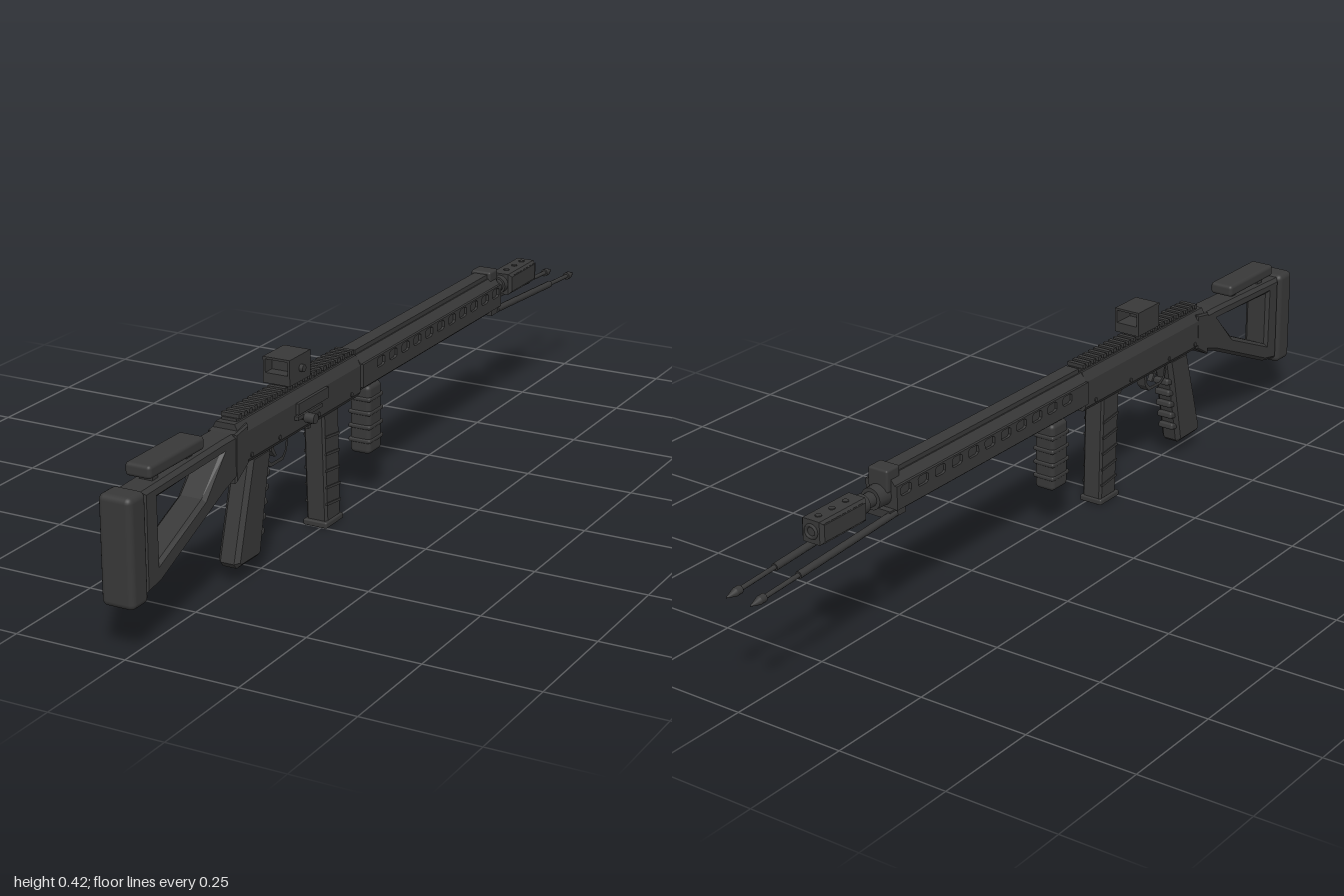
import * as THREE from 'three';
import { RoundedBoxGeometry } from 'three/addons/geometries/RoundedBoxGeometry.js';

export function createModel() {
  const root = new THREE.Group();
  root.name = 'rifle';
  const gun = new THREE.Group();
  gun.name = 'body';
  gun.position.x = -0.014; // the bolt handle pushes the body off centre
  root.add(gun);

  const dark = new THREE.MeshStandardMaterial({ color: 0x383838 });
  dark.name = 'dark gunmetal';

  const add = (name, geo, x = 0, y = 0, z = 0) => {
    const m = new THREE.Mesh(geo, dark);
    m.name = name;
    m.position.set(x, y, z);
    gun.add(m);
    return m;
  };
  const box = (name, w, h, d, x, y, z) => add(name, new THREE.BoxGeometry(w, h, d), x, y, z);
  const rounded = (name, w, h, d, r, x, y, z) => add(name, new RoundedBoxGeometry(w, h, d, 3, r), x, y, z);
  const toShape = (pts, holes = []) => {
    const s = new THREE.Shape(pts.map(p => new THREE.Vector2(...p)));
    s.holes = holes.map(h => new THREE.Path(h.map(p => new THREE.Vector2(...p))));
    return s;
  };
  const rect = (a, b, c, d) => [[a, b], [c, b], [c, d], [a, d]];
  // side profile in (z, y), extruded across x
  const profile = (name, pts, width, bevel = 0, holes = [], x = 0) => {
    const geo = new THREE.ExtrudeGeometry(toShape(pts, holes), {
      depth: width - 2 * bevel, bevelEnabled: bevel > 0, bevelSize: bevel,
      bevelThickness: bevel, bevelOffset: -bevel, bevelSegments: 1,
    });
    geo.translate(0, 0, -width / 2 + bevel);
    geo.rotateY(-Math.PI / 2);
    return add(name, geo, x);
  };
  // cross-section in (x, y), extruded along z
  const section = (name, pts, z0, z1, holes = []) =>
    add(name, new THREE.ExtrudeGeometry(toShape(pts, holes), { depth: z1 - z0, bevelEnabled: false }), 0, 0, z0);
  const mirrored = half => [...half, ...half.slice().reverse().map(([x, y]) => [-x, y])];
  const rodZ = (name, r0, r1, z0, z1, y, x = 0, sides = 16) => {
    const g = new THREE.CylinderGeometry(r1, r0, z1 - z0, sides);
    g.rotateX(Math.PI / 2);
    return add(name, g, x, y, (z0 + z1) / 2);
  };

  // Stock
  rounded('buttPad', 0.074, 0.227, 0.057, 0.013, 0, 0.214, 0.9715);
  profile('stock',
    [[0.945, 0.112], [0.89, 0.122], [0.66, 0.222], [0.605, 0.24], [0.605, 0.332], [0.66, 0.332], [0.945, 0.322]],
    0.064, 0.008, [[[0.895, 0.165], [0.895, 0.295], [0.665, 0.305], [0.735, 0.235]]]);
  rounded('cheekRest', 0.058, 0.028, 0.193, 0.008, 0, 0.35, 0.8215);
  for (const z of [0.88, 0.76]) box('cheekRestPost', 0.03, 0.03, 0.02, 0, 0.325, z);

  // Receiver
  section('receiver', mirrored([[0.026, 0.255], [0.033, 0.265], [0.033, 0.325], [0.022, 0.347]]), 0.11, 0.605);
  profile('receiverRear', [[0.62, 0.228], [0.57, 0.256], [0.57, 0.34], [0.62, 0.332]], 0.067, 0.004);
  box('railBase', 0.034, 0.008, 0.475, 0, 0.349, 0.352);
  for (let i = 0; i < 24; i++) box('railTooth', 0.042, 0.009, 0.011, 0, 0.3565, 0.58 - i * 0.0199);

  // Ejection port, bolt and side details
  box('portCover', 0.008, 0.024, 0.125, 0.036, 0.312, 0.322);
  box('boltSlot', 0.01, 0.008, 0.1, 0.037, 0.294, 0.34);
  const bolt = new THREE.CylinderGeometry(0.006, 0.006, 0.03, 12).rotateZ(Math.PI / 2);
  add('boltHandle', bolt, 0.042, 0.289, 0.36);
  const knob = new THREE.CylinderGeometry(0.011, 0.011, 0.023, 16).rotateZ(Math.PI / 2);
  add('boltKnob', knob, 0.0545, 0.289, 0.36);
  for (const z of [0.56, 0.45, 0.29, 0.15])
    add('pin', new THREE.CylinderGeometry(0.005, 0.005, 0.07, 10).rotateZ(Math.PI / 2), 0, 0.272, z);

  // Sight: open housing with a dark pane inside
  section('sightHousing', rect(-0.0315, 0.366, 0.0315, 0.422), 0.32, 0.405, [rect(-0.026, 0.388, 0.026, 0.417)]);
  box('sightPane', 0.053, 0.03, 0.006, 0, 0.4025, 0.375);
  box('sightFoot', 0.026, 0.02, 0.06, 0, 0.36, 0.3625);
  add('sightDial', new THREE.CylinderGeometry(0.008, 0.008, 0.01, 14).rotateZ(Math.PI / 2), 0.035, 0.394, 0.36);

  // Pistol grip with finger ridges
  profile('pistolGrip',
    [[0.545, 0.26], [0.465, 0.26], [0.478, 0.205], [0.512, 0.042], [0.52, 0.035], [0.598, 0.036], [0.608, 0.048], [0.578, 0.15]],
    0.05, 0.009);
  for (let i = 0; i < 5; i++) {
    const t = 0.08 + i * 0.03;
    const ridge = rounded('gripRidge', 0.04, 0.015, 0.03, 0.005, 0, t, 0.513 - (t - 0.042) * 0.209);
    ridge.rotation.x = 0.2;
  }

  // Trigger and guard
  profile('triggerGuard',
    [[0.48, 0.258], [0.465, 0.214], [0.45, 0.204], [0.4, 0.204], [0.385, 0.22], [0.378, 0.258]], 0.022, 0,
    [[[0.47, 0.25], [0.458, 0.22], [0.447, 0.212], [0.404, 0.212], [0.393, 0.223], [0.387, 0.25]]]);
  profile('trigger', [[0.44, 0.258], [0.425, 0.258], [0.428, 0.235], [0.418, 0.219], [0.424, 0.217], [0.438, 0.233]], 0.012);
  box('magazineRelease', 0.014, 0.025, 0.012, 0, 0.247, 0.285);

  // Magazine
  profile('magazine', [[0.257, 0.262], [0.19, 0.262], [0.184, 0.01], [0.246, 0.01]], 0.05, 0.005);
  rounded('magazineBase', 0.058, 0.014, 0.074, 0.004, 0, 0.007, 0.217);
  for (let i = 0; i < 5; i++) {
    const band = box('magazineRib', 0.054, 0.006, 0.058, 0, 0.05 + i * 0.038, 0.2165 + i * 0.0012);
    band.rotation.x = -0.12;
  }

  // Front grip
  rounded('frontGrip', 0.05, 0.158, 0.058, 0.01, 0, 0.18, 0.026);
  for (let i = 0; i < 4; i++) rounded('frontGripRib', 0.054, 0.01, 0.064, 0.004, 0, 0.132 + i * 0.032, 0.026);

  // Handguard: inner core plus slotted side walls
  section('handguardCore', mirrored([[0.022, 0.262], [0.034, 0.275], [0.034, 0.328], [0.02, 0.346]]), -0.565, 0.11);
  const slots = [];
  for (let i = 0; i < 11; i++) {
    const c = 0.03 - i * 0.0566;
    slots.push([[c - 0.017, 0.306], [c - 0.011, 0.302], [c + 0.011, 0.302], [c + 0.017, 0.306],
      [c + 0.017, 0.32], [c + 0.011, 0.324], [c - 0.011, 0.324], [c - 0.017, 0.32]]);
  }
  for (const s of [-1, 1])
    profile('handguardWall', rect(-0.565, 0.276, 0.11, 0.328), 0.007, 0, slots, s * 0.0365);
  box('handguardTopRail', 0.034, 0.012, 0.68, 0, 0.35, -0.235);
  box('handguardUnderRail', 0.03, 0.008, 0.6, 0, 0.262, -0.22);

  // Front sight block, barrel and muzzle brake
  rounded('frontSightBlock', 0.05, 0.05, 0.042, 0.005, 0, 0.337, -0.556);
  rodZ('gasBlock', 0.024, 0.026, -0.6, -0.56, 0.304);
  rodZ('barrel', 0.016, 0.016, -0.66, -0.56, 0.304);
  rodZ('barrelCollar', 0.021, 0.021, -0.645, -0.625, 0.304);
  const ports = [-0.677, -0.719, -0.76].map(c => rect(c - 0.013, 0.29, c + 0.013, 0.318));
  profile('muzzleBrake', rect(-0.783, 0.279, -0.642, 0.329), 0.056, 0.007, ports);
  for (const z of [-0.677, -0.719, -0.76])
    add('brakeVent', new THREE.CylinderGeometry(0.007, 0.007, 0.003, 12), 0, 0.3295, z);
  const bore = new THREE.TorusGeometry(0.013, 0.004, 6, 20);
  add('boreRing', bore, 0, 0.304, -0.783);

  // Folded bipod
  box('bipodMount', 0.066, 0.018, 0.05, 0, 0.268, -0.555);
  for (const s of [-1, 1]) {
    const leg = new THREE.Group();
    leg.name = 'bipodLeg';
    leg.position.set(s * 0.03, 0.267, -0.56);
    leg.rotation.x = -0.058;
    const piece = (name, r0, r1, a, b) => {
      const g = new THREE.CylinderGeometry(r0, r1, b - a, 10).rotateX(Math.PI / 2);
      const m = new THREE.Mesh(g, dark);
      m.name = name;
      m.position.z = -(a + b) / 2;
      leg.add(m);
    };
    piece('legUpper', 0.008, 0.008, 0, 0.3);
    piece('legLower', 0.005, 0.005, 0.3, 0.41);
    piece('legFoot', 0.009, 0.009, 0.4, 0.415);
    piece('legTip', 0.009, 0.001, 0.415, 0.44);
    gun.add(leg);
  }
  return root;
}
